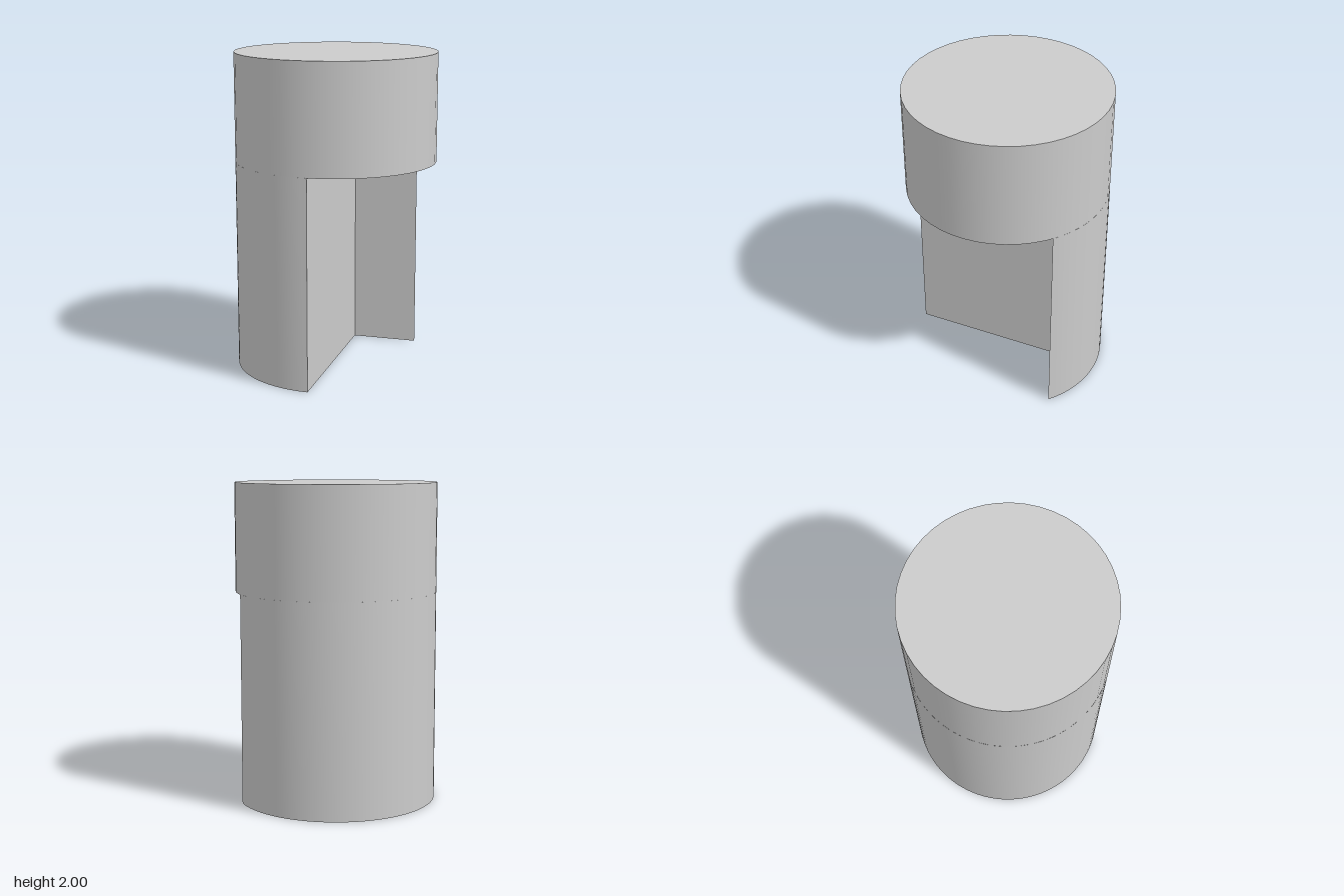
import * as THREE from 'three';
import { toCreasedNormals } from 'three/addons/utils/BufferGeometryUtils.js';

export function createModel() {
  const radius = 0.631, height = 2, notchHeight = 1.32, notchBack = -0.472;
  const material = new THREE.MeshStandardMaterial({ color: 0xcccccc });
  const group = new THREE.Group();
  group.name = 'notchedCylinder';

  // Full round head
  const headHeight = height - notchHeight;
  const head = new THREE.Mesh(new THREE.CylinderGeometry(radius, radius, headHeight, 48), material);
  head.name = 'head';
  head.position.y = notchHeight + headHeight / 2;
  group.add(head);

  // Lower body: the disc minus a square-cornered notch at the front left.
  // Shape y becomes model z once the extrusion is laid down.
  const endAngle = 2 * Math.PI + Math.asin(notchBack / radius);
  const section = new THREE.Shape();
  section.moveTo(0, radius);
  section.absarc(0, 0, radius, Math.PI / 2, endAngle, false);
  section.lineTo(0, notchBack);
  section.closePath();

  const bodyGeometry = new THREE.ExtrudeGeometry(section, {
    depth: notchHeight, bevelEnabled: false, curveSegments: 30,
  });
  bodyGeometry.rotateX(Math.PI / 2).translate(0, notchHeight, 0);
  const body = new THREE.Mesh(toCreasedNormals(bodyGeometry, 0.5), material);
  body.name = 'notchedBody';
  group.add(body);

  return group;
}
